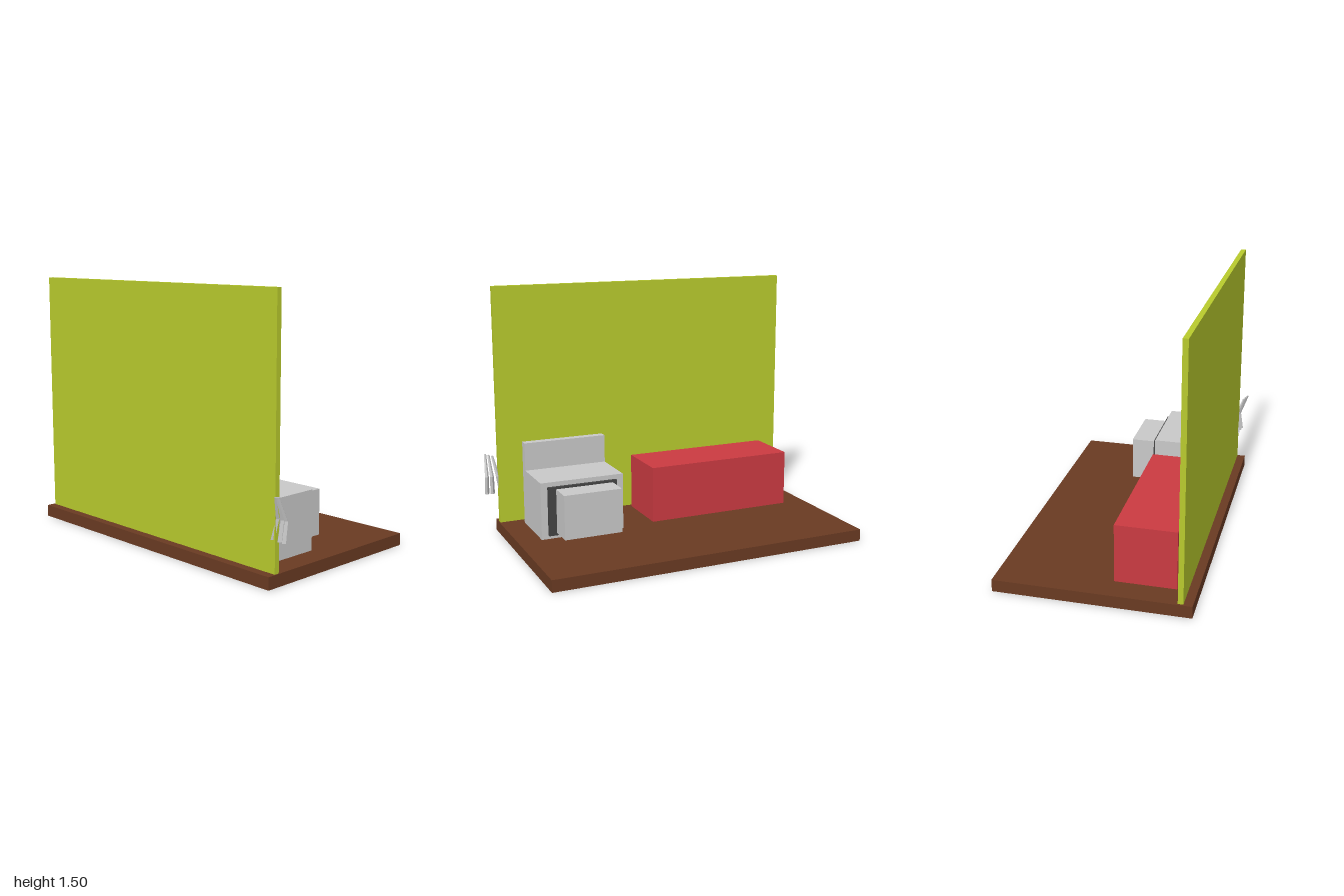
import * as THREE from 'three';

const mat = (name, color) => {
  const m = new THREE.MeshStandardMaterial({ color });
  m.name = name;
  return m;
};

// Box given by its extents on each axis
function box(name, material, [x0, x1], [y0, y1], [z0, z1]) {
  const mesh = new THREE.Mesh(new THREE.BoxGeometry(x1 - x0, y1 - y0, z1 - z0), material);
  mesh.name = name;
  mesh.position.set((x0 + x1) / 2, (y0 + y1) / 2, (z0 + z1) / 2);
  return mesh;
}

// Bent, tapering four-sided blade through three centres, listed from tip to base
function blade(name, material, centres) {
  const halfX = [0.007, 0.012, 0.015];
  const halfZ = [0.007, 0.012, 0.014];
  let geo = new THREE.CylinderGeometry(1, 1, 2, 4, 2);
  const p = geo.attributes.position;
  for (let i = 0; i < p.count; i++) {
    const ring = Math.round(1 - p.getY(i));
    const [cx, cy, cz] = centres[ring];
    p.setXYZ(i, cx + p.getX(i) * halfX[ring], cy, cz + p.getZ(i) * halfZ[ring]);
  }
  geo = geo.toNonIndexed();
  geo.computeVertexNormals();
  const mesh = new THREE.Mesh(geo, material);
  mesh.name = name;
  return mesh;
}

export function createModel() {
  const model = new THREE.Group();
  model.name = 'roomCorner';

  const brown = mat('brown wood', 0x693a22);
  const lime = mat('lime paint', 0xb8ca2d);
  const red = mat('red', 0xca3a41);
  const grey = mat('light grey', 0xc8c8c8);
  const dark = mat('dark grey', 0x444444);

  // Room
  model.add(
    box('floor', brown, [-0.55, 0.55], [0, 0.07], [-1, 0.925]),
    box('wall', lime, [-0.5, -0.47], [0.07, 1.505], [-0.99, 0.92]),
    box('bench', red, [-0.44, -0.095], [0.07, 0.41], [-0.855, 0.068]),
  );

  // Stove with back panel, dark door frame and projecting door block
  const stove = new THREE.Group();
  stove.name = 'stove';
  stove.add(
    box('stoveBody', grey, [-0.41, -0.062], [0.07, 0.41], [0.277, 0.785]),
    box('backPanel', grey, [-0.41, -0.36], [0.41, 0.578], [0.277, 0.785]),
    box('doorFrame', dark, [-0.062, -0.043], [0.092, 0.383], [0.322, 0.745]),
    box('doorBlock', grey, [-0.043, 0.1], [0.107, 0.37], [0.348, 0.698]),
  );
  model.add(stove);

  // Three bent blades beside the wall's end
  const blades = new THREE.Group();
  blades.name = 'blades';
  [
    [[-0.545, 0.49, 0.98], [-0.492, 0.36, 0.987], [-0.507, 0.25, 0.986]],
    [[-0.535, 0.485, 0.962], [-0.488, 0.36, 0.957], [-0.502, 0.25, 0.953]],
    [[-0.525, 0.48, 0.942], [-0.485, 0.36, 0.922], [-0.495, 0.25, 0.9]],
  ].forEach((c, i) => blades.add(blade('blade' + (i + 1), grey, c)));
  model.add(blades);

  return model;
}
